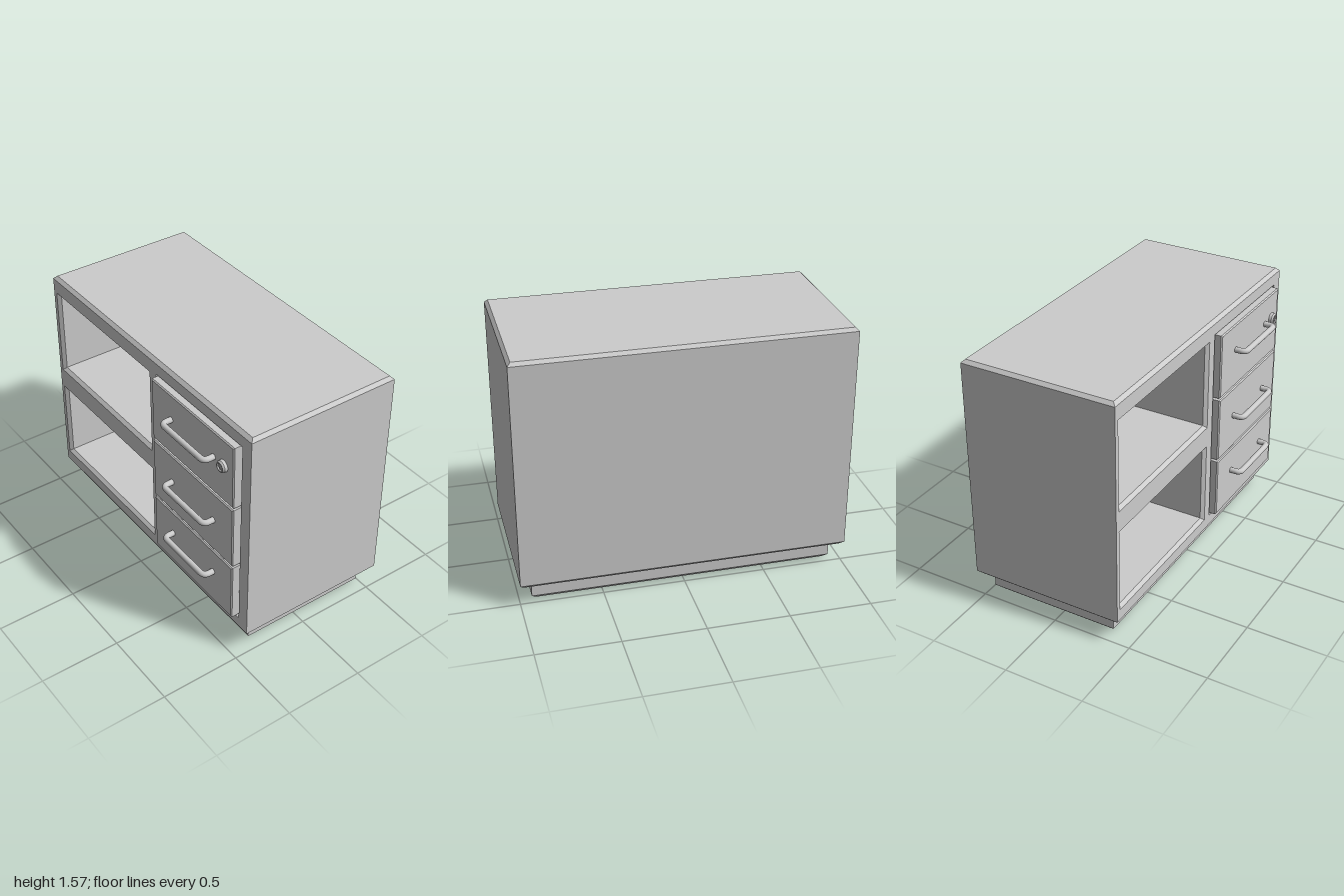
import * as THREE from 'three';

const grey = new THREE.MeshStandardMaterial({ color: 0xcccccc, side: THREE.DoubleSide });

function mesh(name, geometry, parent) {
  const m = new THREE.Mesh(geometry, grey);
  m.name = name;
  parent.add(m);
  return m;
}

// Rectangular rings, counter-clockwise as seen from +y or +z
const ringY = (y, x0, x1, z0, z1, d = 0) => [
  [x0 + d, y, z1 - d], [x1 - d, y, z1 - d], [x1 - d, y, z0 + d], [x0 + d, y, z0 + d]];
const ringZ = (z, x0, x1, y0, y1, d = 0) => [
  [x0 + d, y0 + d, z], [x1 - d, y0 + d, z], [x1 - d, y1 - d, z], [x0 + d, y1 - d, z]];

// Joins four-cornered rings with flat faces; skip(band, side) leaves a face out
function loft(rings, { startCap = true, endCap = true, skip = () => false } = {}) {
  const pos = [];
  const quad = (a, b, c, d) => pos.push(...a, ...b, ...c, ...a, ...c, ...d);
  for (let r = 0; r < rings.length - 1; r++) {
    const a = rings[r], b = rings[r + 1];
    for (let i = 0; i < 4; i++) {
      const j = (i + 1) % 4;
      if (!skip(r, i)) quad(a[i], a[j], b[j], b[i]);
    }
  }
  if (startCap) quad(...[...rings[0]].reverse());
  if (endCap) quad(...rings[rings.length - 1]);
  const g = new THREE.BufferGeometry();
  g.setAttribute('position', new THREE.Float32BufferAttribute(pos, 3));
  g.computeVertexNormals();
  return g;
}

const FRONT = 0.425, BACK = -0.55;
const rectPoints = (x0, x1, y0, y1) =>
  [[x0, y0], [x1, y0], [x1, y1], [x0, y1]].map(p => new THREE.Vector2(...p));

function makeHandle() {
  const v = (x, z) => new THREE.Vector3(x, 0, z);
  const h = 0.2, out = 0.065, r = 0.035;
  const path = new THREE.CurvePath();
  path.add(new THREE.LineCurve3(v(-h, -0.005), v(-h, out - r)));
  path.add(new THREE.QuadraticBezierCurve3(v(-h, out - r), v(-h, out), v(-h + r, out)));
  path.add(new THREE.LineCurve3(v(-h + r, out), v(h - r, out)));
  path.add(new THREE.QuadraticBezierCurve3(v(h - r, out), v(h, out), v(h, out - r)));
  path.add(new THREE.LineCurve3(v(h, out - r), v(h, -0.005)));
  return new THREE.TubeGeometry(path, 90, 0.018, 16, false);
}

function makeLock() {
  const lock = new THREE.Group();
  lock.name = 'lock';
  // Bevelled collar with a sunken face
  const profile = [[0.037, -0.005], [0.037, 0.018], [0.029, 0.028], [0.023, 0.028], [0.021, 0.02], [0, 0.02]];
  const pts = [];
  profile.forEach(([r, y], i) => {
    pts.push(new THREE.Vector2(r, y));
    if (i > 0 && i < profile.length - 1) pts.push(new THREE.Vector2(r, y));
  });
  const collar = mesh('lockCollar', new THREE.LatheGeometry(pts, 28), lock);
  collar.rotation.x = Math.PI / 2;
  // Raised cross around the keyhole
  for (const [name, w, h] of [['lockBarAcross', 0.032, 0.007], ['lockBarUpright', 0.007, 0.032]]) {
    mesh(name, new THREE.BoxGeometry(w, h, 0.008), lock).position.z = 0.021;
  }
  return lock;
}

export function createModel() {
  const model = new THREE.Group();
  model.name = 'cabinet';

  // Cabinet shell with chamfered top and bottom, open at the front
  const body = (y, d) => ringY(y, -1, 1, BACK, FRONT, d);
  mesh('cabinetShell', loft([body(0.13, 0.025), body(0.155, 0), body(1.55, 0), body(1.57, 0.02)],
    { skip: (band, side) => band === 1 && side === 0 }), model);

  // Front frame with two shelf openings and a drawer bay
  const shelves = [[-0.97, 0.055, 0.89, 1.46], [-0.97, 0.055, 0.225, 0.76]];
  const bay = [0.118, 0.922, 0.222, 1.48];
  const frame = new THREE.Shape(rectPoints(-1, 1, 0.155, 1.55));
  for (const o of [...shelves, bay]) frame.holes.push(new THREE.Path(rectPoints(...o)));
  mesh('frontFrame', new THREE.ShapeGeometry(frame), model).position.z = FRONT;

  // Shelf interiors with a bevelled rim
  shelves.forEach((o, i) => {
    mesh(i ? 'lowerShelf' : 'upperShelf', loft([
      ringZ(FRONT, ...o), ringZ(FRONT - 0.02, ...o, 0.02), ringZ(-0.46, ...o, 0.02),
    ], { startCap: false }), model);
  });

  // Shallow bay behind the drawer fronts
  mesh('drawerBay', loft([ringZ(FRONT, ...bay), ringZ(FRONT - 0.02, ...bay)], { startCap: false }), model);

  // Plinth with a chamfered foot
  const foot = (y, d) => ringY(y, -0.927, 0.927, -0.475, 0.355, d);
  mesh('plinth', loft([foot(0, 0.03), foot(0.03, 0), foot(0.135, 0)]), model);

  // Drawers: [bottom, top, handle height]
  const face = 0.465, handle = makeHandle();
  [[1.06, 1.473, 1.305], [0.633, 1.045, 0.855], [0.233, 0.618, 0.46]].forEach(([y0, y1, hy], i) => {
    const drawer = new THREE.Group();
    drawer.name = 'drawer' + (i + 1);
    const r = (z, d) => ringZ(z, 0.133, 0.903, y0, y1, d);
    mesh('drawerFront', loft([r(FRONT - 0.02, 0), r(face - 0.007, 0), r(face, 0.007)]), drawer);
    mesh('handle', handle, drawer).position.set(0.523, hy, face);
    if (i === 0) {
      const lock = makeLock();
      lock.position.set(0.815, hy, face);
      drawer.add(lock);
    }
    model.add(drawer);
  });

  return model;
}
